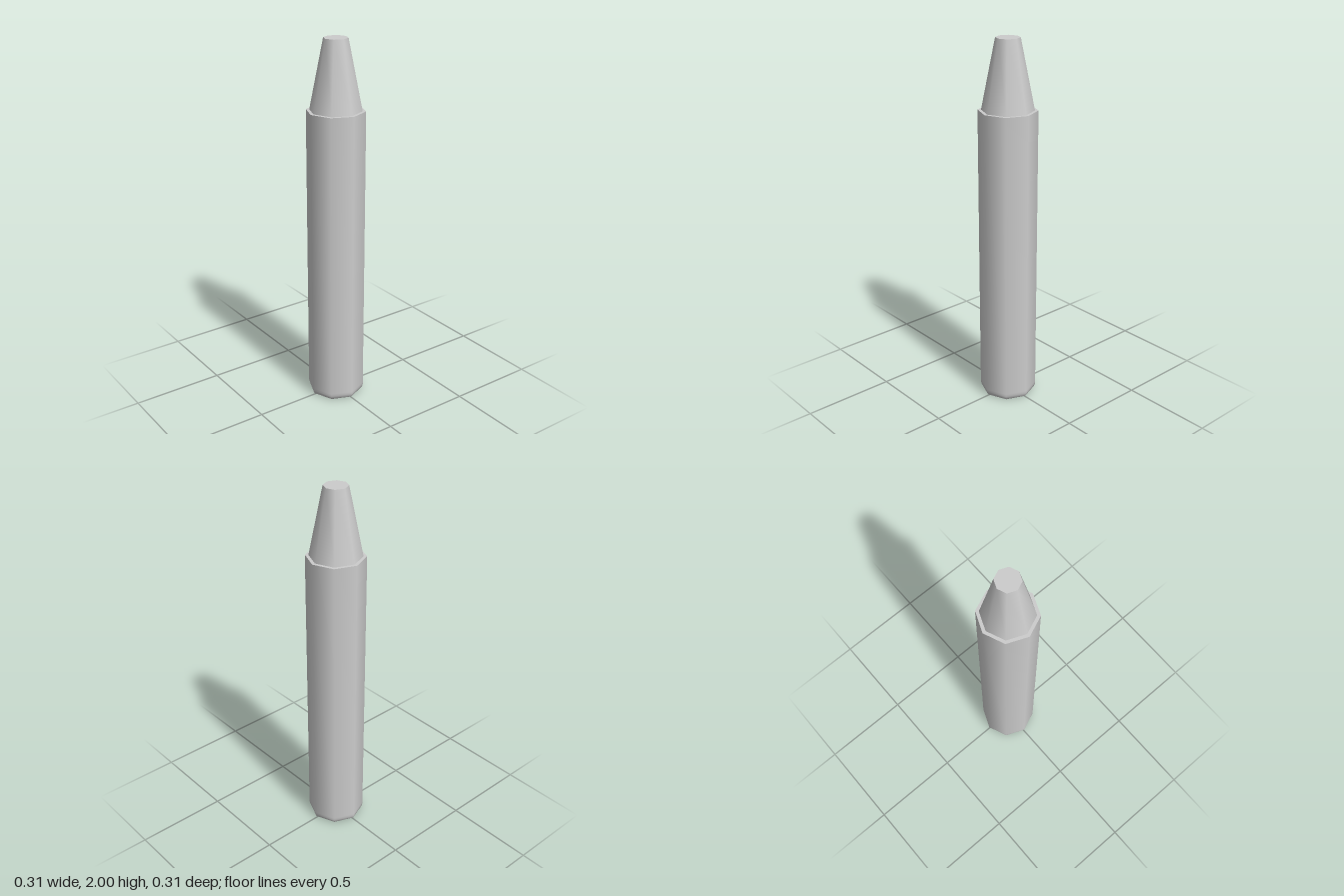
import * as THREE from 'three';

const SIDES = 8;
const material = new THREE.MeshStandardMaterial({ color: 0xcccccc });

// Smooth-shaded octagonal wall turned from [radius, height] pairs
function wall(name, profile) {
  const points = profile.map(([r, y]) => new THREE.Vector2(r, y));
  const mesh = new THREE.Mesh(new THREE.LatheGeometry(points, SIDES), material);
  mesh.name = name;
  return mesh;
}

// Flat horizontal face, either a disc or a ring, facing up or down
function flat(name, inner, outer, y, up = true) {
  const geometry = inner > 0
    ? new THREE.RingGeometry(inner, outer, SIDES)
    : new THREE.CircleGeometry(outer, SIDES);
  geometry.rotateX(up ? -Math.PI / 2 : Math.PI / 2);
  geometry.translate(0, y, 0);
  const mesh = new THREE.Mesh(geometry, material);
  mesh.name = name;
  return mesh;
}

export function createModel() {
  const model = new THREE.Group();
  model.name = 'crayon';

  // Straight barrel with a small rounded bottom edge and a flat shoulder
  const barrel = new THREE.Group();
  barrel.name = 'barrel';
  barrel.add(
    wall('barrelWall', [[0.141, 0], [0.151, 0.009], [0.156, 0.026], [0.156, 0.04], [0.156, 1.63]]),
    flat('barrelBase', 0, 0.141, 0, false),
    flat('barrelShoulder', 0.138, 0.156, 1.63),
  );

  // Tapered tip with a blunt end
  const tip = new THREE.Group();
  tip.name = 'tip';
  tip.add(
    wall('tipWall', [[0.138, 1.63], [0.064, 2]]),
    flat('tipEnd', 0, 0.064, 2),
  );

  model.add(barrel, tip);
  return model;
}
